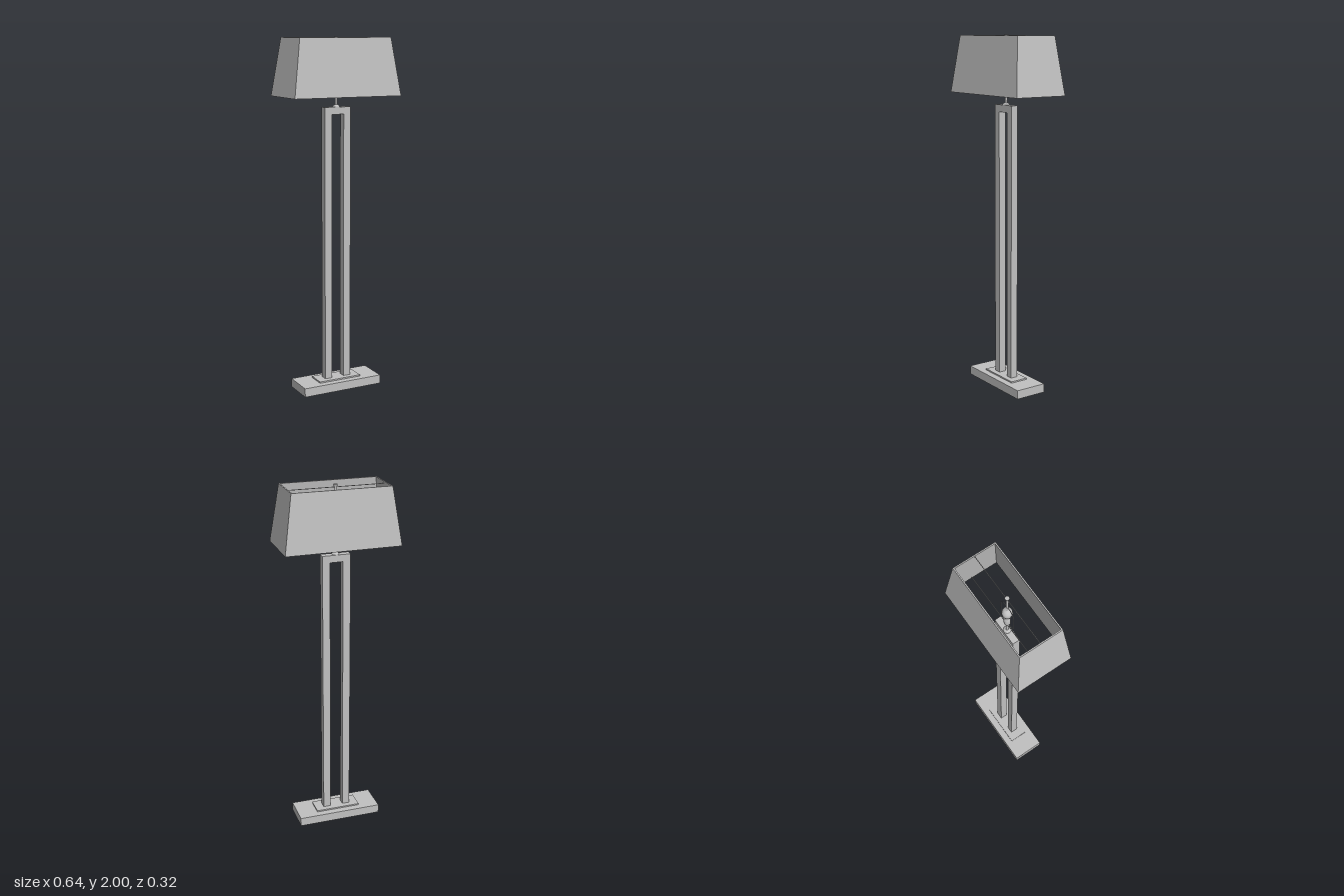
import * as THREE from 'three';

export function createModel() {
  const model = new THREE.Group();
  const gray = new THREE.MeshStandardMaterial({ color: 0xc0c0c0 });
  gray.name = 'gray';

  const add = (name, geometry, x = 0, y = 0, z = 0) => {
    const mesh = new THREE.Mesh(geometry, gray);
    mesh.name = name;
    mesh.position.set(x, y, z);
    model.add(mesh);
    return mesh;
  };

  // Base slab and the raised plate on it
  add('base', new THREE.BoxGeometry(0.486, 0.05, 0.184), 0, 0.025);
  add('basePlate', new THREE.BoxGeometry(0.26, 0.008, 0.106), 0, 0.054);

  // Upright open frame: two posts joined at the top
  const frame = new THREE.Shape([
    [-0.08, 0.057], [-0.037, 0.057], [-0.037, 1.58], [0.037, 1.58],
    [0.037, 0.057], [0.08, 0.057], [0.08, 1.62], [-0.08, 1.62],
  ].map(([x, y]) => new THREE.Vector2(x, y)));
  add('frame', new THREE.ExtrudeGeometry(frame, { depth: 0.042, bevelEnabled: false }), 0, 0, -0.021);

  // Turned fittings: collar, stem and socket, then the bulb
  const lathe = (points) => new THREE.LatheGeometry(points.map(([r, y]) => new THREE.Vector2(r, y)), 24);
  add('collar', lathe([[0.02, 1.62], [0.02, 1.626], [0.008, 1.632], [0, 1.632]]));
  add('stem', new THREE.CylinderGeometry(0.007, 0.007, 0.09, 16), 0, 1.67);
  add('socket', lathe([[0, 1.705], [0.01, 1.705], [0.017, 1.715], [0.017, 1.77], [0, 1.77]]));
  add('bulb', lathe([[0.013, 1.77], [0.015, 1.79], [0.025, 1.815], [0.028, 1.835],
    [0.025, 1.85], [0.015, 1.861], [0, 1.865]]));

  // Wire harp around the bulb, carrying the finial
  const harp = new THREE.CurvePath();
  const corners = [[-0.015, 1.715], [-0.052, 1.73], [-0.052, 1.87], [-0.03, 1.9],
    [0.03, 1.9], [0.052, 1.87], [0.052, 1.73], [0.015, 1.715]]
    .map(([x, y]) => new THREE.Vector3(x, y, 0));
  for (let i = 1; i < corners.length; i++) harp.add(new THREE.LineCurve3(corners[i - 1], corners[i]));
  add('harp', new THREE.TubeGeometry(harp, 56, 0.002, 6));
  add('finialRod', new THREE.CylinderGeometry(0.006, 0.006, 0.095, 12), 0, 1.945);
  add('finial', new THREE.CylinderGeometry(0.012, 0.009, 0.012, 20), 0, 1.994);

  // Tapered rectangular shade: each ring is [half width, y, half depth]
  const rings = [[0.322, 1.68, 0.158], [0.275, 1.997, 0.122], [0.268, 1.997, 0.115], [0.315, 1.68, 0.151]];
  const signs = [[1, 1], [1, -1], [-1, -1], [-1, 1]];
  const corner = (i, j) => {
    const [w, y, d] = rings[i % 4];
    const [sx, sz] = signs[j % 4];
    return [w * sx, y, d * sz];
  };
  const positions = [];
  for (let i = 0; i < 4; i++) {
    for (let j = 0; j < 4; j++) {
      const a = corner(i, j), b = corner(i, j + 1), c = corner(i + 1, j + 1), d = corner(i + 1, j);
      positions.push(...a, ...b, ...c, ...a, ...c, ...d);
    }
  }
  const shade = new THREE.BufferGeometry();
  shade.setAttribute('position', new THREE.Float32BufferAttribute(positions, 3));
  shade.computeVertexNormals();
  add('shade', shade);

  // Cross wires holding the shade near its rims
  for (const [name, length, y] of [['upperWire', 0.54, 1.985], ['lowerWire', 0.632, 1.69]]) {
    add(name, new THREE.CylinderGeometry(0.002, 0.002, length, 8), 0, y).rotation.z = Math.PI / 2;
  }

  return model;
}
